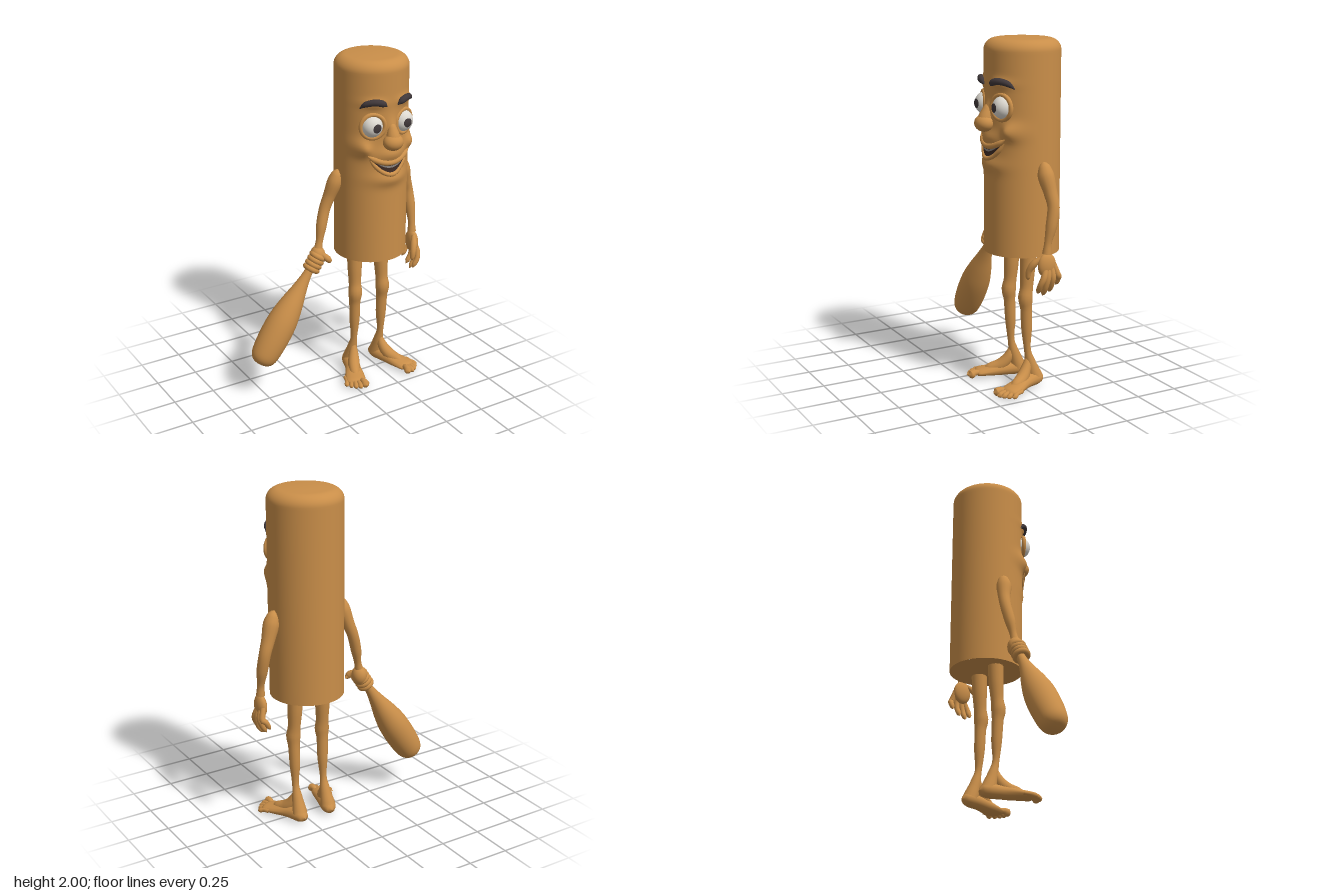
import * as THREE from 'three';
import { mergeVertices } from 'three/addons/utils/BufferGeometryUtils.js';

const material = (name, color) => new THREE.MeshStandardMaterial({ name, color });
const CX = 0.22, CZ = -0.04, R = 0.213; // trunk axis and radius

// Soft swellings of the face: offset from the middle, height, widths, depth
const bulges = [
  [0, 1.31, 0.11, 0.04, 0.022],   // chin
  [0, 1.46, 0.09, 0.04, 0.022],   // muzzle
  [0, 1.60, 0.03, 0.06, 0.022],   // bridge
  [0.16, 1.50, 0.04, 0.045, 0.045], [-0.16, 1.50, 0.04, 0.045, 0.045], // cheeks
  [0.10, 1.76, 0.06, 0.025, 0.018], [-0.10, 1.76, 0.06, 0.025, 0.018], // brow ridges
];
const swell = (x, y) => bulges.reduce((s, [bx, by, w, h, d]) =>
  s + d * Math.exp(-(((x - CX - bx) / w) ** 2) - ((y - by) / h) ** 2), 0);
const faceZ = (x, y) => CZ + Math.sqrt(Math.max(0, R * R - (x - CX) ** 2)) + swell(x, y);

// Weld a geometry so that its normals are smooth across seams
function smooth(geometry) {
  geometry.deleteAttribute('uv');
  geometry.deleteAttribute('normal');
  const welded = mergeVertices(geometry, 1e-5);
  welded.computeVertexNormals();
  return welded;
}

// Tube through [x, y, z, radius, flatness] points, with changing thickness
function limbGeometry(points, n = 28, m = 14) {
  const curve = new THREE.CatmullRomCurve3(points.map(p => new THREE.Vector3(p[0], p[1], p[2])));
  const size = new THREE.CatmullRomCurve3(points.map(p => new THREE.Vector3(p[3], p[4] ?? 1, 0)), false, 'catmullrom', 0.4);
  const geometry = new THREE.TubeGeometry(curve, n, 1, m);
  const pos = geometry.attributes.position, v = new THREE.Vector3();
  for (let i = 0; i <= n; i++) {
    const c = curve.getPointAt(i / n);
    const s = size.getPoint(curve.getUtoTmapping(i / n));
    const r = Math.max(s.x, 0.0005);
    for (let j = 0; j <= m; j++) {
      const k = i * (m + 1) + j;
      v.fromBufferAttribute(pos, k).sub(c).multiplyScalar(r);
      v.y *= s.y;
      v.add(c);
      pos.setXYZ(k, v.x, v.y, v.z);
    }
  }
  return smooth(geometry);
}

export function createModel() {
  const model = new THREE.Group();
  const wood = material('warm wood', 0xc98e49);
  const white = material('eye white', 0xdcd8d0);
  const dark = material('dark hair', 0x40383a);
  const mouthColor = material('mouth dark', 0x3c2a24);
  const teethColor = material('teeth grey', 0x8c8580);

  const add = (name, geometry, mat = wood, parent = model) => {
    const mesh = new THREE.Mesh(geometry, mat);
    mesh.name = name;
    parent.add(mesh);
    return mesh;
  };
  const limb = (name, points, mat = wood, n = 28) => add(name, limbGeometry(points, n), mat);
  const ball = (name, p, r, mat = wood) => {
    const mesh = add(name, new THREE.SphereGeometry(1, 28, 18), mat);
    mesh.position.set(...p);
    mesh.scale.set(...r);
    return mesh;
  };

  // Trunk with a rounded top and the face swellings pushed out of it
  const profile = [];
  for (let i = 0; i <= 76; i++) profile.push(new THREE.Vector2(R, 0.8 + 1.13 * i / 76));
  for (let i = 1; i <= 10; i++) {
    const a = i / 10 * Math.PI / 2;
    profile.push(new THREE.Vector2(R - 0.07 + 0.07 * Math.cos(a), 1.93 + 0.064 * Math.sin(a)));
  }
  profile.push(new THREE.Vector2(0.08, 1.999), new THREE.Vector2(0, 2));
  const trunk = new THREE.LatheGeometry(profile, 96, Math.PI);
  trunk.translate(CX, 0, CZ);
  const tp = trunk.attributes.position;
  for (let i = 0; i < tp.count; i++) {
    if (tp.getZ(i) > CZ + 0.02) tp.setZ(i, tp.getZ(i) + swell(tp.getX(i), tp.getY(i)));
  }
  add('trunk', smooth(trunk));
  const base = add('trunkBase', new THREE.CircleGeometry(R, 64));
  base.rotation.x = Math.PI / 2;
  base.position.set(CX, 0.8, CZ);

  // Eyes, lids and eyebrows
  for (const s of [-1, 1]) {
    const x = CX - 0.004 + s * 0.101, y = 1.632, z = 0.132;
    ball('eyeball', [x, y, z], [0.062, 0.064, 0.062], white);
    const pupil = add('pupil', new THREE.SphereGeometry(0.0645, 20, 6, 0, Math.PI * 2, 0, 0.42), dark);
    pupil.rotation.x = Math.PI / 2;
    pupil.position.set(x, y, z);
    const lid = add('eyelid', new THREE.TorusGeometry(0.068, 0.013, 12, 40));
    lid.position.set(x, y, z + 0.012);
    lid.rotation.y = s * 0.35;
    const brow = [[0.165, 1.735, 0.003], [0.145, 1.762, 0.016], [0.10, 1.774, 0.019], [0.06, 1.764, 0.018], [0.036, 1.745, 0.003]];
    limb('eyebrow', brow.map(([bx, by, r]) => [CX + s * bx, by, faceZ(CX + s * bx, by) + 0.004, r]), dark);
  }

  // Nose
  ball('noseTip', [CX - 0.003, 1.538, 0.197], [0.06, 0.048, 0.053]);
  limb('noseBridge', [[CX, 1.66, 0.165, 0.002], [CX, 1.62, 0.175, 0.026], [CX, 1.55, 0.195, 0.042], [CX, 1.52, 0.2, 0.01]]);

  // Smiling mouth: crescent plates that follow the face
  const crescent = (name, half, top, bottom, lift, mat) => {
    const g = new THREE.PlaneGeometry(2, 1, 32, 4);
    const p = g.attributes.position;
    for (let i = 0; i < p.count; i++) {
      const u = p.getX(i), v = p.getY(i) + 0.5;
      const x = CX + u * half;
      const y = THREE.MathUtils.lerp(bottom(u), top(u), v);
      p.setXYZ(i, x, y, faceZ(x, y) + lift);
    }
    g.computeVertexNormals();
    add(name, g, mat);
  };
  const upper = u => 1.395 + 0.045 * u * u;
  crescent('mouth', 0.118, upper, u => 1.352 + 0.088 * u * u, 0.005, mouthColor);
  crescent('teeth', 0.09, u => 1.393 + 0.026 * u * u, u => 1.381 + 0.036 * u * u, 0.008, teethColor);
  const lip = (name, yAt, half, r) => {
    const pts = [];
    for (let i = -4; i <= 4; i++) {
      const u = i / 4, x = CX + u * half, y = yAt(u);
      pts.push([x, y, faceZ(x, y), Math.abs(i) === 4 ? 0.004 : r]);
    }
    limb(name, pts, wood, 36);
  };
  lip('upperLip', u => 1.41 + 0.05 * u * u, 0.135, 0.016);
  lip('lowerLip', u => 1.341 + 0.098 * u * u, 0.122, 0.013);

  // Legs and feet, mirrored about the middle of the stance
  const MX = 0.206;
  for (const s of [-1, 1]) {
    const side = pts => pts.map(([x, ...rest]) => [MX + s * (MX - x), ...rest]);
    limb('leg', side([[0.113, 0.83, -0.04, 0.046], [0.113, 0.7, -0.035, 0.043], [0.111, 0.59, -0.028, 0.037], [0.109, 0.53, -0.02, 0.042],
      [0.109, 0.47, -0.025, 0.034], [0.111, 0.35, -0.03, 0.031], [0.11, 0.22, -0.036, 0.02], [0.11, 0.14, -0.055, 0.031], [0.108, 0.05, -0.085, 0.045]]), wood, 40);
    limb('foot', side([[0.112, 0.04, -0.14, 0.001, 0.9], [0.112, 0.04, -0.125, 0.03, 0.95], [0.106, 0.042, -0.085, 0.044, 0.95], [0.08, 0.037, 0, 0.046, 0.8],
      [0.04, 0.028, 0.09, 0.06, 0.45], [0.018, 0.022, 0.14, 0.058, 0.36], [0.01, 0.02, 0.165, 0.002, 0.4]]));
    limb('instep', side([[0.11, 0.19, -0.04, 0.008], [0.102, 0.12, -0.025, 0.028], [0.08, 0.066, 0.015, 0.036], [0.05, 0.042, 0.075, 0.03], [0.035, 0.03, 0.12, 0.004]]));
    const toes = [[0.052, 0.212, 0.023], [0.02, 0.207, 0.016], [-0.004, 0.192, 0.015], [-0.024, 0.17, 0.014], [-0.04, 0.143, 0.014]];
    for (const [x, z, r] of toes) {
      const bx = x * 0.7 + 0.014;
      limb('toe', side([[bx, 0.026, z - 0.075, 0.012], [(x + bx) / 2, r + 0.008, z - 0.035, r * 0.85], [x, r, z - 0.012, r], [x, r, z + 0.005, 0.001]]), wood, 14);
    }
  }

  // Left arm with an open, hanging hand
  limb('leftArm', [[0.425, 1.335, -0.055, 0.002], [0.437, 1.315, -0.055, 0.03], [0.455, 1.26, -0.058, 0.046], [0.485, 1.17, -0.07, 0.038],
    [0.508, 1.1, -0.075, 0.034], [0.518, 1.0, -0.058, 0.032], [0.518, 0.9, -0.036, 0.021], [0.517, 0.84, -0.03, 0.026]], wood, 40);
  ball('leftPalm', [0.519, 0.775, -0.03], [0.03, 0.07, 0.055]);
  limb('leftThumb', [[0.512, 0.82, 0, 0.012], [0.49, 0.785, 0.035, 0.02], [0.472, 0.745, 0.055, 0.017], [0.465, 0.705, 0.058, 0.013], [0.464, 0.69, 0.058, 0.001]]);
  [[0.016, 0.615], [-0.016, 0.6], [-0.055, 0.615], [-0.1, 0.65]].forEach(([z, y]) =>
    limb('leftFinger', [[0.525, 0.78, -0.03 + z * 0.4, 0.015], [0.54, 0.71, z * 0.8 - 0.012, 0.018], [0.53, y + 0.055, z, 0.016],
      [0.508, y + 0.018, z, 0.014], [0.496, y, z, 0.001]], wood, 18));

  // Right arm with a fist
  limb('rightArm', [[0.02, 1.335, -0.055, 0.002], [0.008, 1.315, -0.055, 0.03], [-0.01, 1.26, -0.06, 0.044], [-0.04, 1.17, -0.075, 0.036],
    [-0.066, 1.1, -0.08, 0.033], [-0.095, 1.0, -0.07, 0.031], [-0.115, 0.91, -0.06, 0.021], [-0.13, 0.85, -0.055, 0.028]], wood, 40);
  ball('rightPalm', [-0.13, 0.825, -0.055], [0.045, 0.058, 0.048]);

  // Club and the fingers closed round its handle
  const club = new THREE.Group();
  club.name = 'club';
  club.position.set(-0.53, 0.215, -0.055);
  club.rotation.z = -0.576;
  model.add(club);
  const outline = new THREE.SplineCurve([[0, 0], [0.045, 0.008], [0.074, 0.04], [0.086, 0.1], [0.091, 0.2], [0.087, 0.3], [0.07, 0.4],
    [0.046, 0.5], [0.03, 0.58], [0.024, 0.64], [0.024, 0.7], [0.029, 0.74], [0, 0.755]].map(p => new THREE.Vector2(...p)));
  const outlinePoints = outline.getPoints(48);
  outlinePoints.forEach(p => { p.x = Math.max(0, p.x); });
  add('clubBody', smooth(new THREE.LatheGeometry(outlinePoints, 32)), wood, club);
  for (let i = 0; i < 4; i++) {
    const finger = add('rightFinger', new THREE.TorusGeometry(0.036, 0.017, 12, 28), wood, club);
    finger.rotation.x = Math.PI / 2;
    finger.position.set(0, 0.645 + i * 0.027, 0.008);
  }
  limb('rightThumb', [[-0.12, 0.84, -0.03, 0.015], [-0.1, 0.82, 0, 0.02], [-0.085, 0.805, 0.005, 0.016], [-0.066, 0.8, 0, 0.001]]);

  return model;
}
